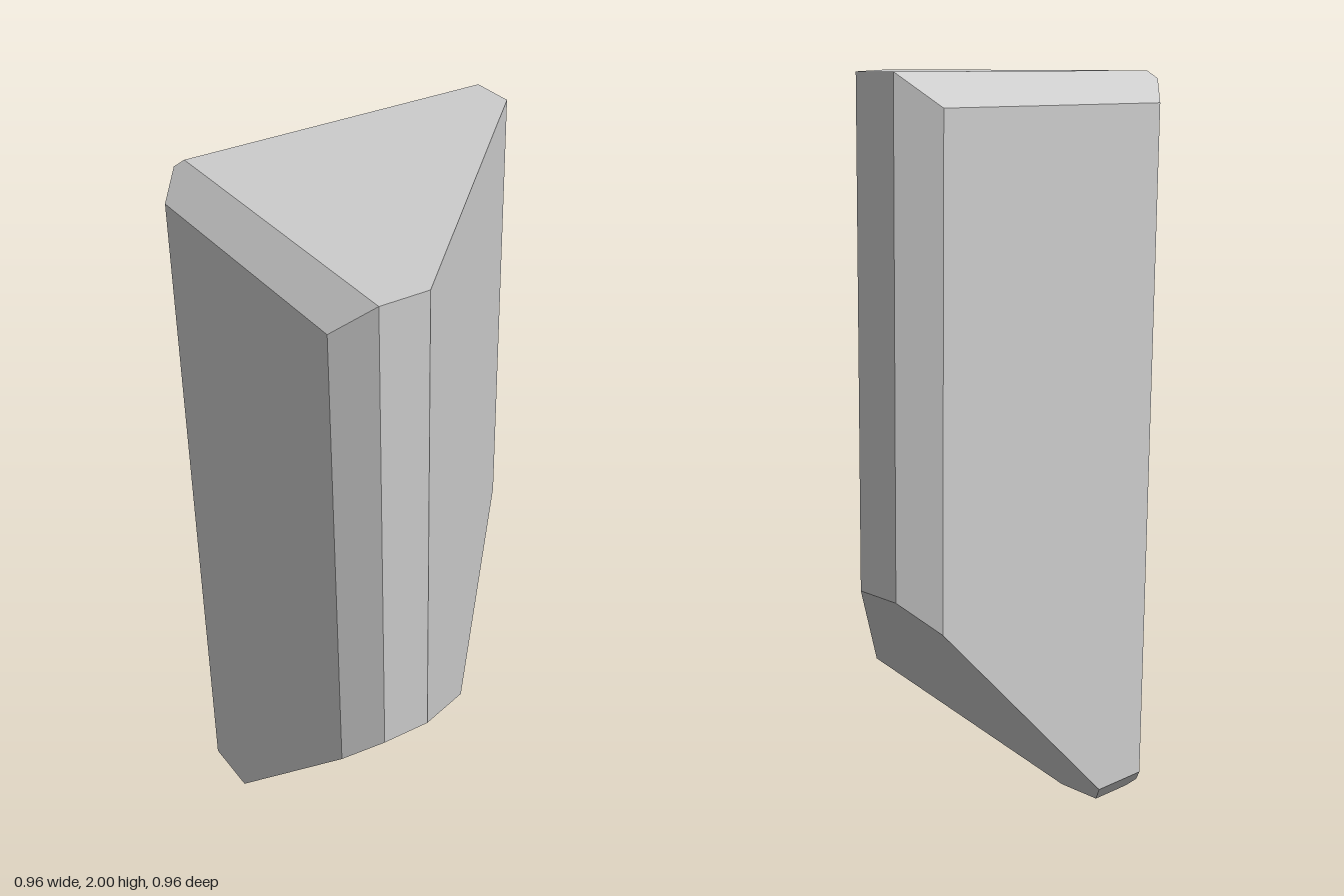
import * as THREE from 'three';
import { ConvexGeometry } from 'three/addons/geometries/ConvexGeometry.js';

// Each cutting plane [a, b, c, d] keeps the points where a*x + b*y + c*z <= d.
const PLANES = [
  // main sides, top and bottom
  [-1, 0, 0, 0.48], [0, 0, -1, 0.48], [0, 1, 0, 2], [0, -1, 0, 0],
  // narrow end faces and the wide diagonal face
  [1, 0, 0, 0.48], [0, 0, 1, 0.48], [1, 0, 1, 0.21],
  // sloping undersides
  [1, -1, 0, -0.27], [0, -1, 1, -0.27],
  // upright chamfers
  [-1, 0, -1, 0.84], [1, 0, -1, 0.88], [-1, 0, 1, 0.88],
  // top and bottom chamfers
  [-1, 1, 0, 2.4], [0, 1, -1, 2.4], [-1, -1, 0, 0.4], [0, -1, -1, 0.4],
];

// Corners are the points where three planes meet inside all the others.
function corners(planes) {
  const points = [];
  const normals = planes.map(([a, b, c]) => new THREE.Vector3(a, b, c));
  for (let i = 0; i < planes.length; i++)
    for (let j = i + 1; j < planes.length; j++)
      for (let k = j + 1; k < planes.length; k++) {
        const jk = normals[j].clone().cross(normals[k]);
        const det = normals[i].dot(jk);
        if (Math.abs(det) < 1e-6) continue;
        const p = jk.multiplyScalar(planes[i][3])
          .addScaledVector(normals[k].clone().cross(normals[i]), planes[j][3])
          .addScaledVector(normals[i].clone().cross(normals[j]), planes[k][3])
          .divideScalar(det);
        const inside = planes.every((q, n) => normals[n].dot(p) <= q[3] + 1e-6);
        if (inside && !points.some((o) => o.distanceTo(p) < 1e-4)) points.push(p);
      }
  return points;
}

export function createModel() {
  const group = new THREE.Group();
  group.name = 'chamferedWedgeBlock';
  const material = new THREE.MeshStandardMaterial({ color: 0xcccccc, flatShading: true });
  const block = new THREE.Mesh(new ConvexGeometry(corners(PLANES)), material);
  block.name = 'wedgeBlock';
  group.add(block);
  return group;
}
